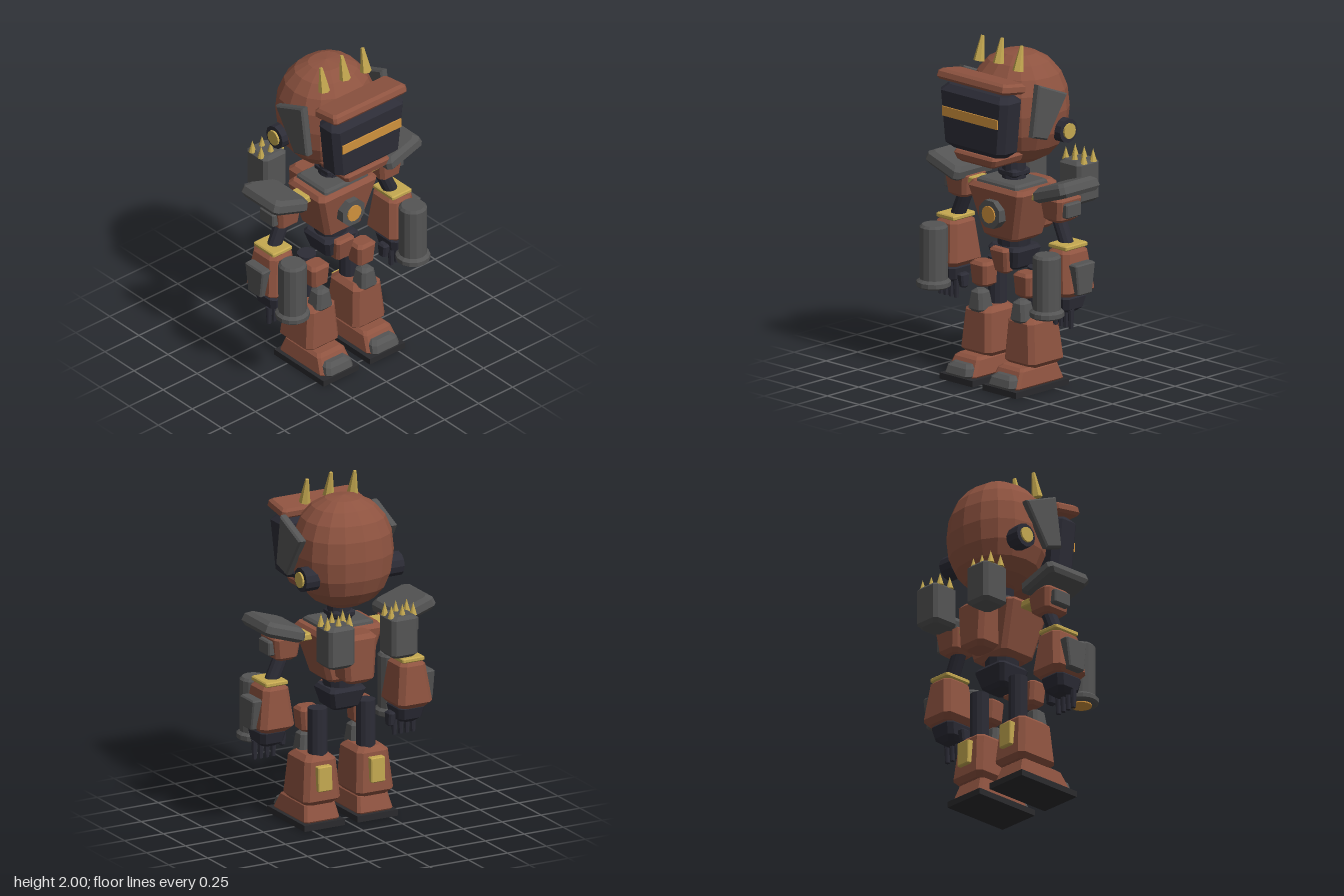
import * as THREE from 'three';

const paint = (name, color) => {
  const m = new THREE.MeshStandardMaterial({ color, flatShading: true });
  m.name = name;
  return m;
};

export function createModel() {
  const rust = paint('rust', 0x8e5340);
  const grey = paint('grey', 0x545454);
  const dark = paint('dark', 0x2c2c36);
  const gold = paint('gold', 0xc4a850);
  const orange = paint('orange', 0xcf913c);
  const sole = paint('sole', 0x2a2a2d);

  const model = new THREE.Group();
  model.name = 'robot';
  const group = (name) => {
    const g = new THREE.Group();
    g.name = name;
    model.add(g);
    return g;
  };
  const add = (parent, name, geometry, material, x = 0, y = 0, z = 0) => {
    const mesh = new THREE.Mesh(geometry, material);
    mesh.name = name;
    mesh.position.set(x, y, z);
    parent.add(mesh);
    return mesh;
  };

  // Chamfered tapered block: bottom and top rectangles given as [x0, x1, z0, z1]
  const block = (y0, y1, bottom, top, c = 0.015) => {
    const rows = [[y0, c], [y0 + c, 0], [y1 - c, 0], [y1, c]];
    const rings = rows.map(([y, inset]) => {
      const t = (y - y0) / (y1 - y0);
      const [x0, x1, z0, z1] = bottom.map((v, i) =>
        v + (top[i] - v) * t + (i % 2 ? -inset : inset));
      return [
        [x1, y, z1 - c], [x1, y, z0 + c], [x1 - c, y, z0], [x0 + c, y, z0],
        [x0, y, z0 + c], [x0, y, z1 - c], [x0 + c, y, z1], [x1 - c, y, z1],
      ];
    });
    const p = [];
    for (let j = 0; j < 8; j++) {
      const k = (j + 1) % 8;
      for (let i = 0; i < 3; i++) {
        const [a, b, d, e] = [rings[i][j], rings[i][k], rings[i + 1][k], rings[i + 1][j]];
        p.push(...a, ...b, ...d, ...a, ...d, ...e);
      }
      if (j > 0 && j < 7) {
        p.push(...rings[3][0], ...rings[3][j], ...rings[3][k]);
        p.push(...rings[0][0], ...rings[0][k], ...rings[0][j]);
      }
    }
    const g = new THREE.BufferGeometry();
    g.setAttribute('position', new THREE.Float32BufferAttribute(p, 3));
    g.computeVertexNormals();
    return g;
  };
  // Rectangle mirrored to side s
  const rect = (s, x0, x1, z0, z1) => (s > 0 ? [x0, x1, z0, z1] : [-x1, -x0, z0, z1]);
  const cyl = (r0, r1, h, n = 12) => new THREE.CylinderGeometry(r1, r0, h, n);
  // Turned part from [radius, y] points
  const lathe = (pts, n) =>
    new THREE.LatheGeometry(pts.map(([r, y]) => new THREE.Vector2(r, y)), n);

  // Head: slightly squared faceted sphere
  const head = group('head');
  const skull = new THREE.SphereGeometry(1, 16, 10);
  const pos = skull.attributes.position;
  const square = (v) => Math.sign(v) * Math.abs(v) ** 0.88;
  for (let i = 0; i < pos.count; i++) {
    pos.setXYZ(i, 0.283 * square(pos.getX(i)), 0.325 * square(pos.getY(i)), 0.26 * square(pos.getZ(i)));
  }
  add(head, 'helmet', skull, rust, 0, 1.585, -0.02);
  add(head, 'visor', block(1.375, 1.74, [-0.23, 0.23, 0.2, 0.365], [-0.268, 0.268, 0.2, 0.37], 0.035), dark);
  add(head, 'eyeStrip', new THREE.BoxGeometry(0.43, 0.055, 0.009), orange, 0, 1.588, 0.372);
  const brow = add(head, 'brow', block(-0.03, 0.03, [-0.27, 0.27, -0.1, 0.09], [-0.265, 0.265, -0.1, 0.08]), rust, 0, 1.785, 0.287);
  brow.rotation.x = -0.15;
  add(head, 'chin', block(1.305, 1.37, [-0.14, 0.14, 0.1, 0.335], [-0.17, 0.17, 0.1, 0.35]), rust);
  for (const i of [-1, 0, 1]) {
    const horn = add(head, 'horn', cyl(0.033, 0.01, 0.145, 6), gold, i * 0.153, i ? 1.915 : 1.93, 0.13);
    horn.rotation.x = -0.2;
  }
  // Ear plates and discs
  const plate = new THREE.Shape(
    [[-0.133, 1.78], [0.075, 1.695], [-0.075, 1.47], [-0.175, 1.5]].map((p) => new THREE.Vector2(...p)));
  const plateGeometry = new THREE.ExtrudeGeometry(plate, {
    depth: 0.03, bevelThickness: 0.01, bevelSize: 0.01, bevelSegments: 1,
  });
  plateGeometry.rotateY(Math.PI / 2);
  for (const s of [1, -1]) {
    add(head, 'earPlate', plateGeometry, grey, s > 0 ? 0.277 : -0.307);
    add(head, 'earDisc', cyl(0.07, 0.07, 0.09), dark, s * 0.27, 1.48, -0.095).rotation.z = Math.PI / 2;
    add(head, 'earCap', cyl(0.045, 0.045, 0.02), gold, s * 0.317, 1.48, -0.095).rotation.z = Math.PI / 2;
  }

  // Torso
  const torso = group('torso');
  add(torso, 'neck', cyl(0.07, 0.07, 0.13), dark, 0, 1.21, 0.02);
  add(torso, 'neckRing', block(1.185, 1.235, [-0.07, 0.07, -0.05, 0.09], [-0.07, 0.07, -0.05, 0.09]), dark);
  add(torso, 'collar', block(1.13, 1.175, [-0.165, 0.165, -0.1, 0.17], [-0.155, 0.155, -0.09, 0.16], 0.012), grey);
  add(torso, 'chest', block(0.83, 1.15, [-0.125, 0.125, -0.09, 0.145], [-0.22, 0.22, -0.12, 0.195], 0.025), rust);
  add(torso, 'chestRing', cyl(0.085, 0.085, 0.07, 8).rotateY(Math.PI / 8), grey, 0, 0.995, 0.185).rotation.x = Math.PI / 2;
  add(torso, 'chestLamp', cyl(0.05, 0.05, 0.02), orange, 0, 0.995, 0.218).rotation.x = Math.PI / 2;
  add(torso, 'backpack', block(0.855, 1.14, [-0.09, 0.09, -0.235, -0.07], [-0.11, 0.11, -0.235, -0.07], 0.025), rust);
  add(torso, 'waist', cyl(0.09, 0.1, 0.1), dark, 0, 0.8, 0.02);
  add(torso, 'pelvis', block(0.655, 0.79, [-0.085, 0.085, -0.06, 0.1], [-0.122, 0.122, -0.1, 0.13], 0.02), dark);
  add(torso, 'hipGuard', block(0.635, 0.785, [-0.045, 0.045, 0.06, 0.135], [-0.068, 0.068, 0.08, 0.165]), rust);

  for (const s of [1, -1]) {
    const side = s > 0 ? 'left' : 'right';

    // Spiked pods on the back
    const pod = group(side + 'Pod');
    const podRect = rect(s, 0.12, 0.287, -0.38, -0.205);
    add(pod, 'podBox', block(1.015, 1.26, podRect, podRect, 0.02), grey);
    for (const x of [0.135, 0.205, 0.275]) {
      for (const z of [-0.33, -0.255]) {
        add(pod, 'spike', new THREE.ConeGeometry(0.022, 0.075, 8), gold, s * x, 1.285, z);
      }
    }

    // Arm
    const arm = group(side + 'Arm');
    add(arm, 'shoulderAxle', block(1.09, 1.13, rect(s, 0.15, 0.3, -0.03, 0.09), rect(s, 0.15, 0.3, -0.03, 0.09), 0.006), gold);
    add(arm, 'shoulder', block(1.0, 1.15, rect(s, 0.305, 0.44, -0.055, 0.11), rect(s, 0.285, 0.46, -0.07, 0.125), 0.02), rust);
    add(arm, 'shoulderBadge', block(1.035, 1.12, rect(s, 0.43, 0.483, -0.03, 0.09), rect(s, 0.43, 0.483, -0.03, 0.09), 0.008), grey);
    const pad = add(arm, 'shoulderPad', block(-0.042, 0.042, [-0.135, 0.135, -0.16, 0.16], [-0.125, 0.125, -0.15, 0.15], 0.022), grey, s * 0.415, 1.187, 0.03);
    pad.rotation.z = s * 0.32;
    add(arm, 'upperArm', cyl(0.042, 0.042, 0.2), dark, s * 0.388, 0.96, 0.035).rotation.z = s * 0.42;
    add(arm, 'cuff', block(0.86, 0.887, rect(s, 0.368, 0.51, -0.05, 0.125), rect(s, 0.368, 0.51, -0.05, 0.125), 0.006), gold);
    add(arm, 'forearm', block(0.595, 0.87, rect(s, 0.33, 0.557, -0.088, 0.168), rect(s, 0.362, 0.517, -0.058, 0.13), 0.03), rust);
    add(arm, 'forearmPlate', block(0.61, 0.79, rect(s, 0.52, 0.585, -0.01, 0.1), rect(s, 0.52, 0.585, -0.037, 0.12), 0.008), grey);
    add(arm, 'palm', block(0.495, 0.61, rect(s, 0.375, 0.515, -0.015, 0.13), rect(s, 0.355, 0.535, -0.045, 0.15), 0.025), dark);
    for (let i = 0; i < 4; i++) {
      add(arm, 'finger', cyl(0.013, 0.019, 0.11, 8), dark, s * (0.389 + i * 0.04), 0.463, 0.085);
    }
    add(arm, 'thumb', block(0.47, 0.555, rect(s, 0.33, 0.365, 0.04, 0.09), rect(s, 0.33, 0.385, 0.03, 0.1), 0.01), dark);
    // Forearm cannon with glowing muzzle
    add(arm, 'cannon', lathe([[0, 0.485], [0.085, 0.485], [0.098, 0.495], [0.098, 0.52], [0.08, 0.535], [0.08, 0.835], [0.066, 0.85], [0, 0.85]], 14), grey, s * 0.443, 0, 0.21);
    add(arm, 'muzzle', cyl(0.06, 0.06, 0.008, 14), orange, s * 0.443, 0.482, 0.21);

    // Leg
    const leg = group(side + 'Leg');
    add(leg, 'thigh', cyl(0.055, 0.055, 0.28), dark, s * 0.155, 0.54, -0.005);
    add(leg, 'thighGuard', block(0.525, 0.67, rect(s, 0.112, 0.225, 0.03, 0.14), rect(s, 0.103, 0.237, 0.03, 0.15), 0.018), rust);
    add(leg, 'knee', block(0.385, 0.515, rect(s, 0.105, 0.225, 0.06, 0.178), rect(s, 0.122, 0.205, 0.08, 0.165), 0.018), grey);
    add(leg, 'shin', block(0.135, 0.415, rect(s, 0.05, 0.292, -0.108, 0.175), rect(s, 0.07, 0.265, -0.08, 0.158), 0.028), rust);
    add(leg, 'calfPlate', block(0.22, 0.365, rect(s, 0.125, 0.215, -0.125, -0.085), rect(s, 0.125, 0.215, -0.122, -0.075), 0.005), gold);
    add(leg, 'foot', block(0.03, 0.145, rect(s, 0.055, 0.287, -0.1, 0.285), rect(s, 0.075, 0.265, -0.06, 0.225), 0.015), rust);
    add(leg, 'toeCap', block(0.03, 0.11, rect(s, 0.07, 0.27, 0.18, 0.322), rect(s, 0.085, 0.255, 0.18, 0.295), 0.02), grey);
    add(leg, 'sole', new THREE.BoxGeometry(0.26, 0.036, 0.425), sole, s * 0.17, 0.018, 0.0985);
  }
  return model;
}
